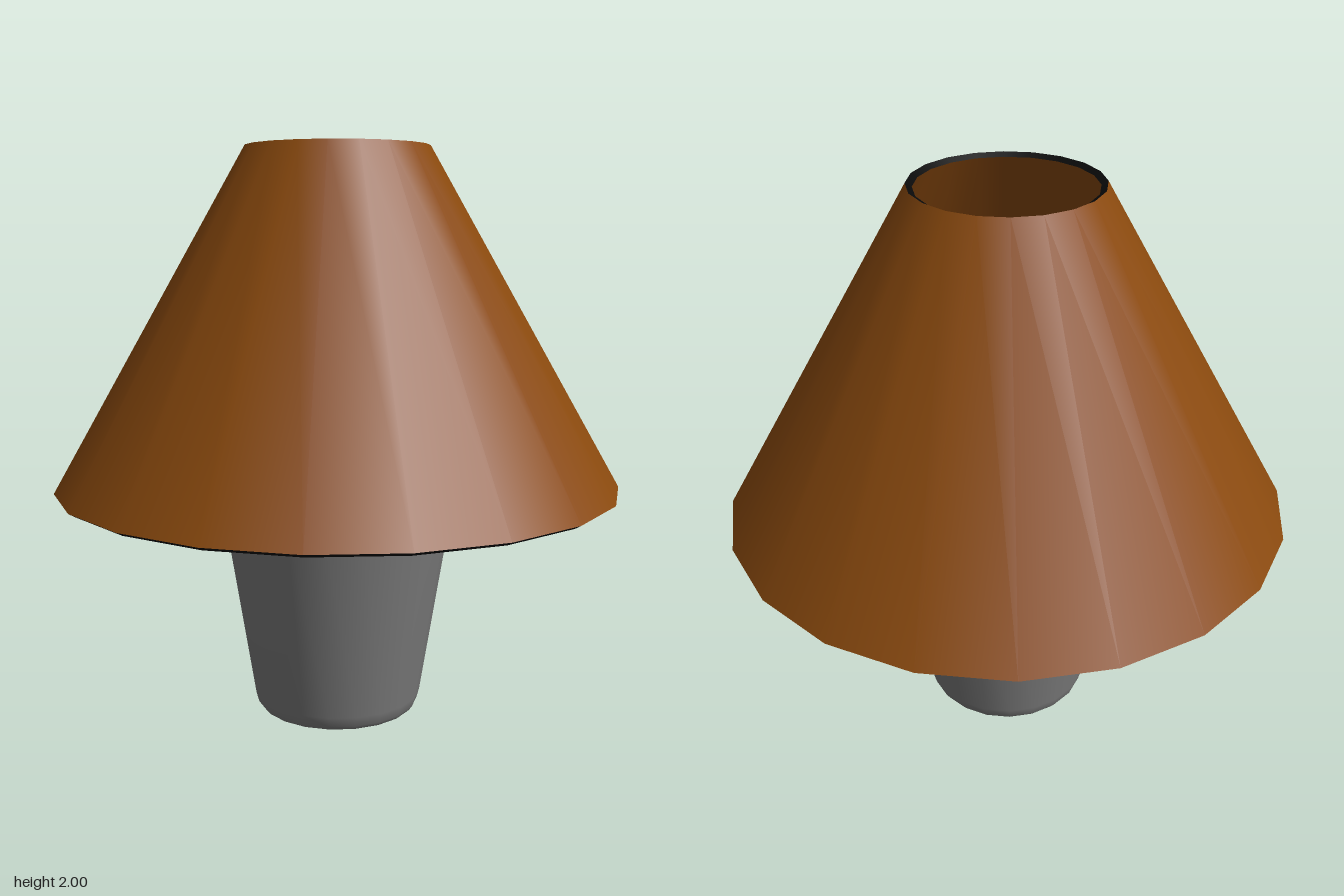
import * as THREE from 'three';

const SIDES = 20;

// Turned surface: smooth within one profile, sharp between separate profiles
function turned(name, color, profiles, sides = SIDES) {
  const group = new THREE.Group();
  group.name = name;
  const material = new THREE.MeshStandardMaterial({ color });
  profiles.forEach((profile, i) => {
    const points = profile.map(([r, y]) => new THREE.Vector2(r, y));
    const mesh = new THREE.Mesh(new THREE.LatheGeometry(points, sides), material);
    mesh.name = `${name}Surface${i + 1}`;
    group.add(mesh);
  });
  return group;
}

export function createModel() {
  const model = new THREE.Group();
  model.name = 'tableLamp';

  // Tapered base with rounded edges and flat ends
  model.add(turned('base', 0x7c7c7c, [
    [[0, 0], [0.28, 0]],
    [[0.28, 0], [0.292, 0.015], [0.302, 0.05], [0.411, 0.73], [0.411, 0.755],
      [0.4, 0.79], [0.378, 0.825], [0.345, 0.84]],
    [[0.345, 0.84], [0, 0.84]],
  ]));

  // Dark stem that carries the bulb
  const stem = new THREE.Mesh(
    new THREE.CylinderGeometry(0.035, 0.035, 0.62, 16),
    new THREE.MeshStandardMaterial({ color: 0x0a0a0a })
  );
  stem.name = 'stem';
  stem.position.y = 1.14;
  model.add(stem);

  // Pear-shaped bulb
  model.add(turned('bulb', 0xcccccc, [
    [[0, 1.42], [0.05, 1.42], [0.06, 1.47], [0.1, 1.54], [0.127, 1.6], [0.127, 1.65],
      [0.105, 1.7], [0.07, 1.735], [0.035, 1.75], [0, 1.755]],
  ]));

  // Conical shade, a thin shell open at both ends
  const outerLow = [0.993, 0.825], outerHigh = [0.32, 2];
  const innerLow = [0.971, 0.812], innerHigh = [0.298, 1.988];
  model.add(turned('shade', 0x8b4a0e, [
    [outerLow, outerHigh],
    [innerHigh, innerLow],
  ]));

  // Black trim on the rims of the shade
  model.add(turned('shadeRims', 0x0a0a0a, [
    [outerHigh, innerHigh],
    [innerLow, outerLow],
  ]));

  return model;
}
